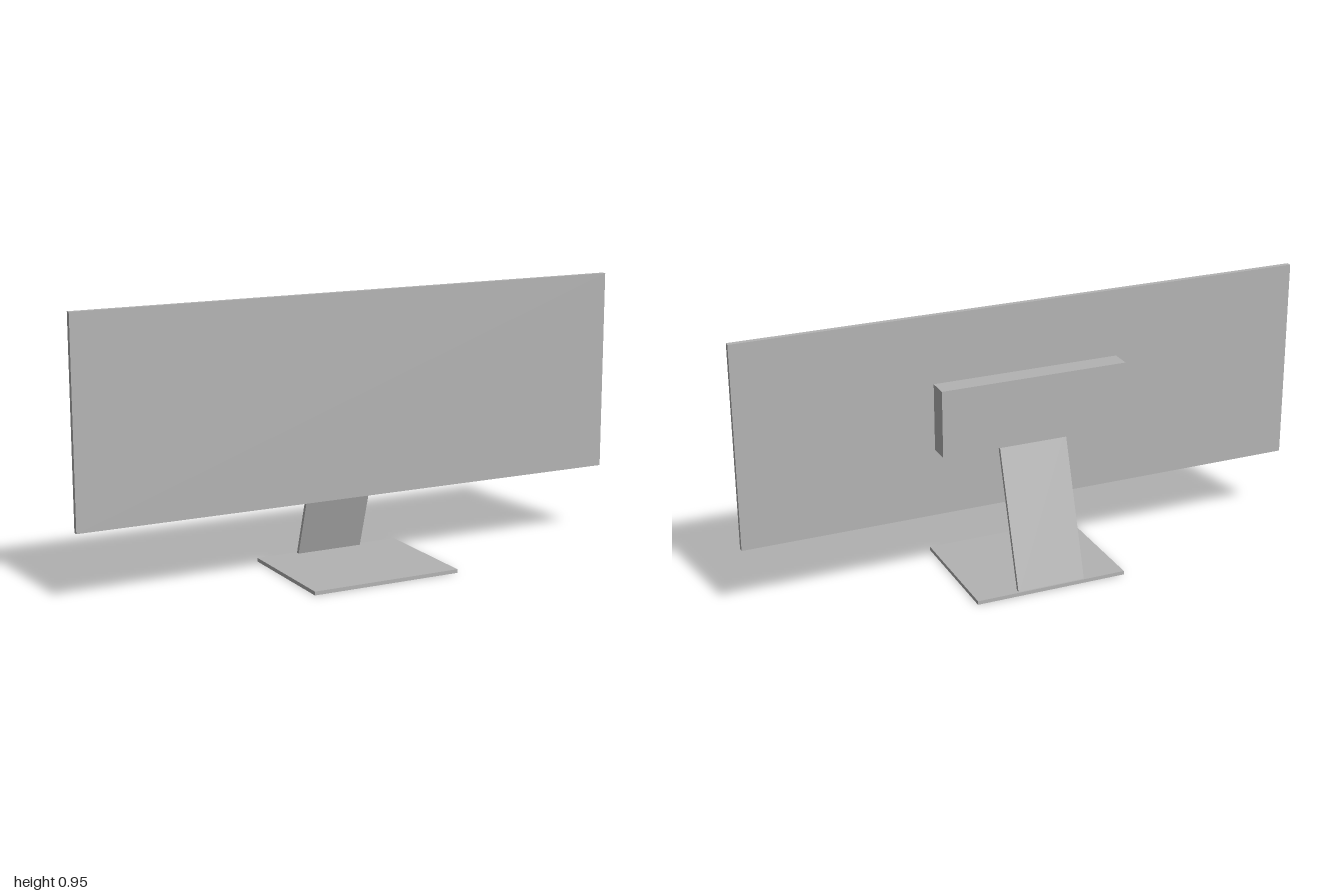
import * as THREE from 'three';

export function createModel() {
  const model = new THREE.Group();
  model.name = 'monitor';
  const grey = new THREE.MeshStandardMaterial({ color: 0xb3b3b3 });
  grey.name = 'plain grey';

  // Adds a box centred on x from its height and depth ranges
  const addBox = (name, width, [y0, y1], [z0, z1]) => {
    const mesh = new THREE.Mesh(new THREE.BoxGeometry(width, y1 - y0, z1 - z0), grey);
    mesh.name = name;
    mesh.position.set(0, (y0 + y1) / 2, (z0 + z1) / 2);
    model.add(mesh);
  };

  addBox('screenPanel', 2, [0.25, 0.953], [-0.008, 0.01]);
  addBox('rearHousing', 0.66, [0.486, 0.718], [-0.081, -0.008]);
  addBox('standBase', 0.54, [0, 0.013], [-0.22, 0.221]);

  // Thin neck leaning forward from the back of the base into the housing
  const foot = new THREE.Vector3(0, 0.004, -0.2105);
  const head = new THREE.Vector3(0, 0.5, -0.0495);
  const neck = new THREE.Mesh(new THREE.BoxGeometry(0.242, foot.distanceTo(head), 0.0128), grey);
  neck.name = 'standNeck';
  neck.position.addVectors(foot, head).multiplyScalar(0.5);
  neck.rotation.x = Math.atan2(head.z - foot.z, head.y - foot.y);
  model.add(neck);

  return model;
}
